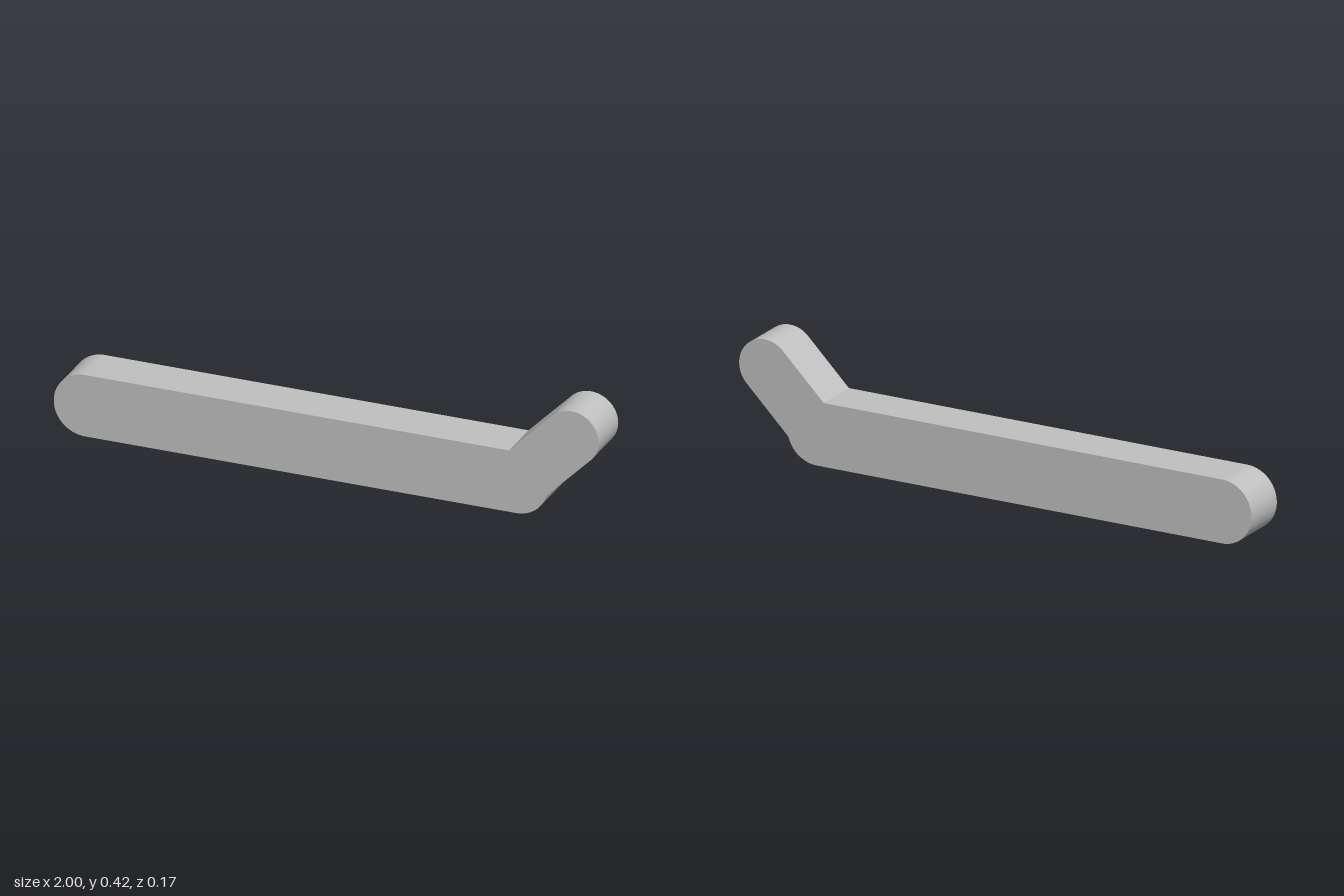
import * as THREE from 'three';
import { toCreasedNormals } from 'three/addons/utils/BufferGeometryUtils.js';

export function createModel() {
  const group = new THREE.Group();
  const grey = new THREE.MeshStandardMaterial({ color: 0xc0c0c0 });
  grey.name = 'light grey';

  const R = 0.115;                    // main bar end radius
  const r = 0.1;                      // bent arm end radius
  const depth = 0.173;
  const left = -0.885, bend = 0.697;  // centres of the bar ends
  const tipX = 0.9, tipY = 0.318;     // centre of the arm tip
  const q = Math.PI / 4;

  // where the arm's underside leaves the rounded heel of the bar
  const heel = Math.asin(r / R);
  // where the arm's upper edge meets the top of the bar
  const cornerX = tipX - r * Math.SQRT2 - tipY + 2 * R;

  // bar with rounded ends and a 45 degree arm, as one outline
  const outline = new THREE.Shape();
  outline.moveTo(left, 0);
  outline.lineTo(bend, 0);
  outline.absarc(bend, R, R, -Math.PI / 2, q - heel, false);
  outline.absarc(tipX, tipY, r, -q, 3 * q, false);
  outline.lineTo(cornerX, 2 * R);
  outline.lineTo(left, 2 * R);
  outline.absarc(left, R, R, Math.PI / 2, 3 * Math.PI / 2, false);

  const geometry = new THREE.ExtrudeGeometry(outline, { depth, bevelEnabled: false, curveSegments: 40 });
  geometry.translate(0, 0, -depth / 2);

  const bar = new THREE.Mesh(toCreasedNormals(geometry, 0.3), grey);
  bar.name = 'bentBar';
  group.add(bar);
  return group;
}
